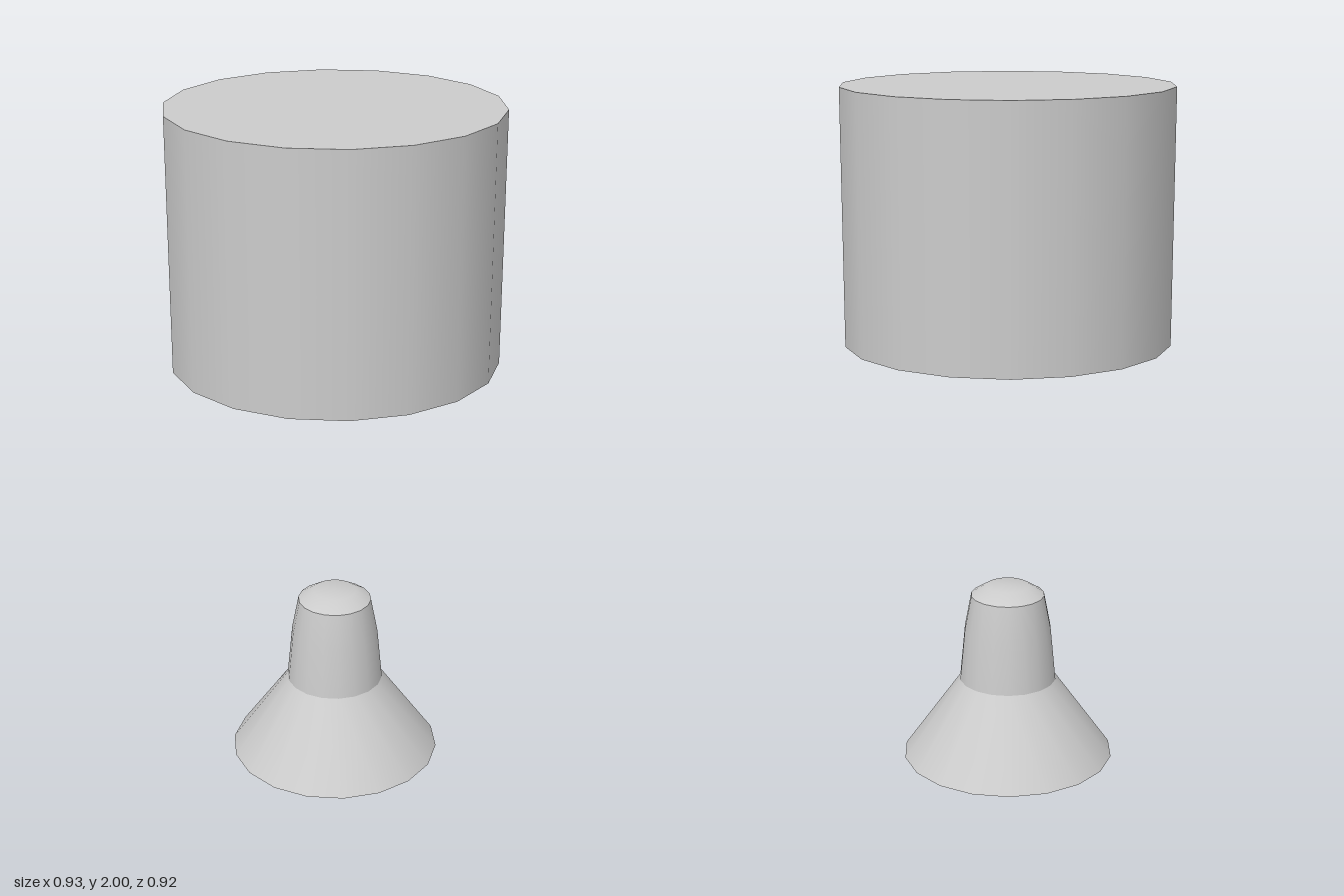
import * as THREE from 'three';

const SIDES = 18;
const material = new THREE.MeshStandardMaterial({ color: 0xcccccc });

// Smooth surface of revolution with corners on the x axis; profile runs bottom to top
function turned(name, profile) {
  const points = profile.map(([r, y]) => new THREE.Vector2(r, y));
  const mesh = new THREE.Mesh(new THREE.LatheGeometry(points, SIDES, Math.PI / 2), material);
  mesh.name = name;
  return mesh;
}

export function createModel() {
  const model = new THREE.Group();
  model.name = 'model';

  // Lower stand: separate sections keep the edges between them sharp
  const stand = new THREE.Group();
  stand.name = 'stand';
  stand.add(
    turned('standUnderside', [[0, 0], [0.315, 0]]),
    turned('flaredBase', [[0.315, 0], [0.145, 0.24]]),
    turned('taperedNeck', [[0.145, 0.24], [0.13, 0.4], [0.11, 0.505]]),
    turned('neckCap', [[0.11, 0.505], [0.065, 0.533], [0, 0.533]])
  );
  model.add(stand);

  // Floating drum above the stand
  const drum = new THREE.Mesh(
    new THREE.CylinderGeometry(0.465, 0.465, 0.72, SIDES, 1, false, Math.PI / 2),
    material
  );
  drum.name = 'drum';
  drum.position.y = 1.64;
  model.add(drum);

  return model;
}
